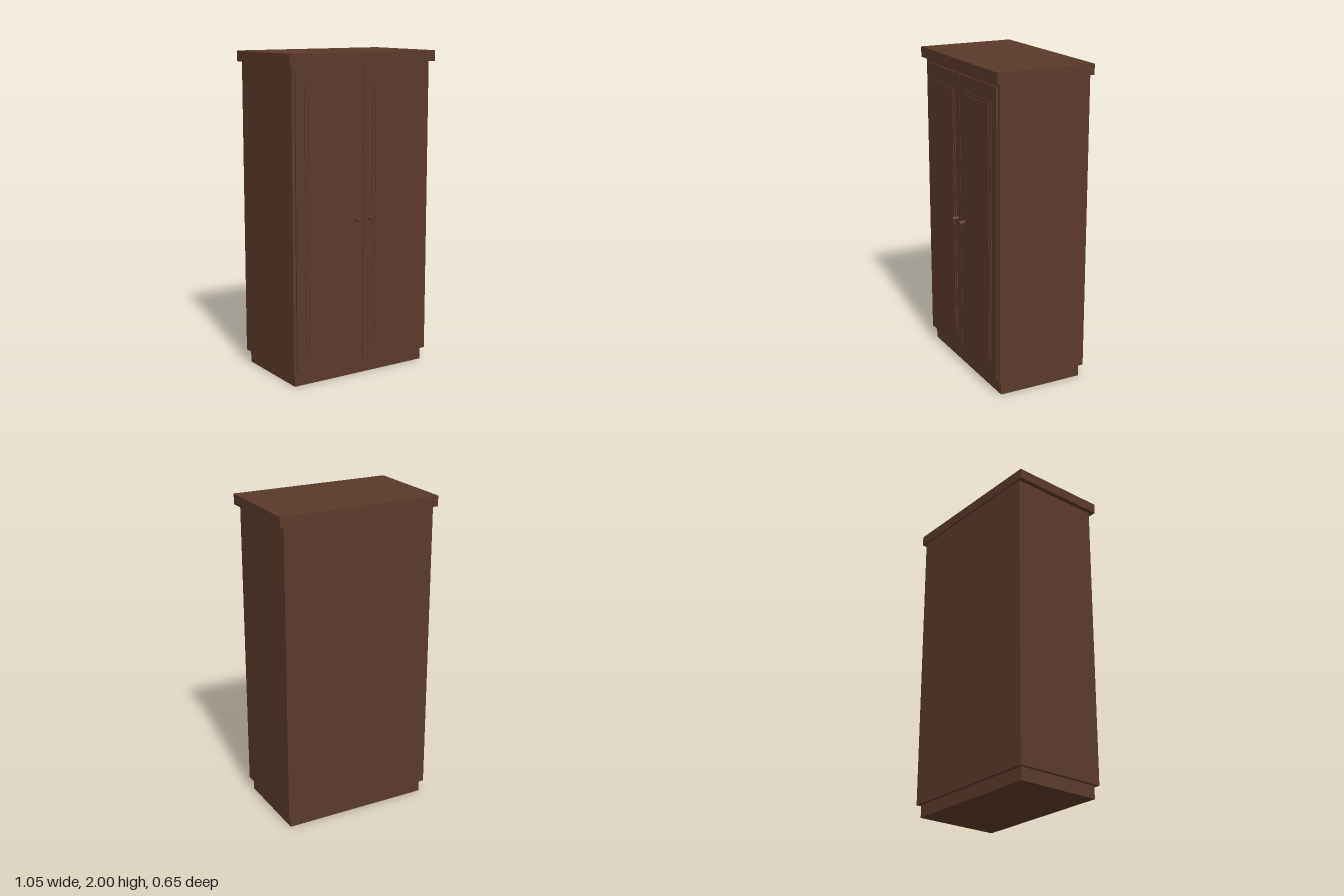
import * as THREE from 'three';

const wood = new THREE.MeshStandardMaterial({ color: 0x5a3a2b });
wood.name = 'dark brown wood';

// Box given by its minimum and maximum corners
function block(name, [x0, y0, z0], [x1, y1, z1]) {
  const mesh = new THREE.Mesh(new THREE.BoxGeometry(x1 - x0, y1 - y0, z1 - z0), wood);
  mesh.position.set((x0 + x1) / 2, (y0 + y1) / 2, (z0 + z1) / 2);
  mesh.name = name;
  return mesh;
}

// Door leaf with a stepped raised panel and a round knob, centred on its own x
function createDoor(name, side) {
  const door = new THREE.Group();
  door.name = name;
  const half = 0.2365;
  door.add(
    block('doorLeaf', [-half, 0.105, 0.27], [half, 1.91, 0.288]),
    block('panelStep', [-half + 0.06, 0.2, 0.28], [half - 0.06, 1.82, 0.293]),
    block('raisedPanel', [-half + 0.08, 0.22, 0.28], [half - 0.08, 1.8, 0.298])
  );
  const knob = new THREE.Mesh(new THREE.CylinderGeometry(0.012, 0.012, 0.045, 16), wood);
  knob.name = 'knob';
  knob.rotation.x = Math.PI / 2;
  knob.position.set(side * (0.048 - 0.2385), 0.993, 0.3025);
  door.add(knob);
  door.position.x = side * 0.2385;
  return door;
}

export function createModel() {
  const wardrobe = new THREE.Group();
  wardrobe.name = 'wardrobe';

  // Recessed base, main case and overhanging top
  wardrobe.add(
    block('plinth', [-0.475, 0, -0.295], [0.475, 0.08, 0.257]),
    block('case', [-0.495, 0.08, -0.315], [0.495, 1.935, 0.278]),
    block('cornice', [-0.523, 1.935, -0.326], [0.523, 2, 0.305])
  );

  // Pair of doors
  wardrobe.add(createDoor('leftDoor', 1), createDoor('rightDoor', -1));
  return wardrobe;
}
